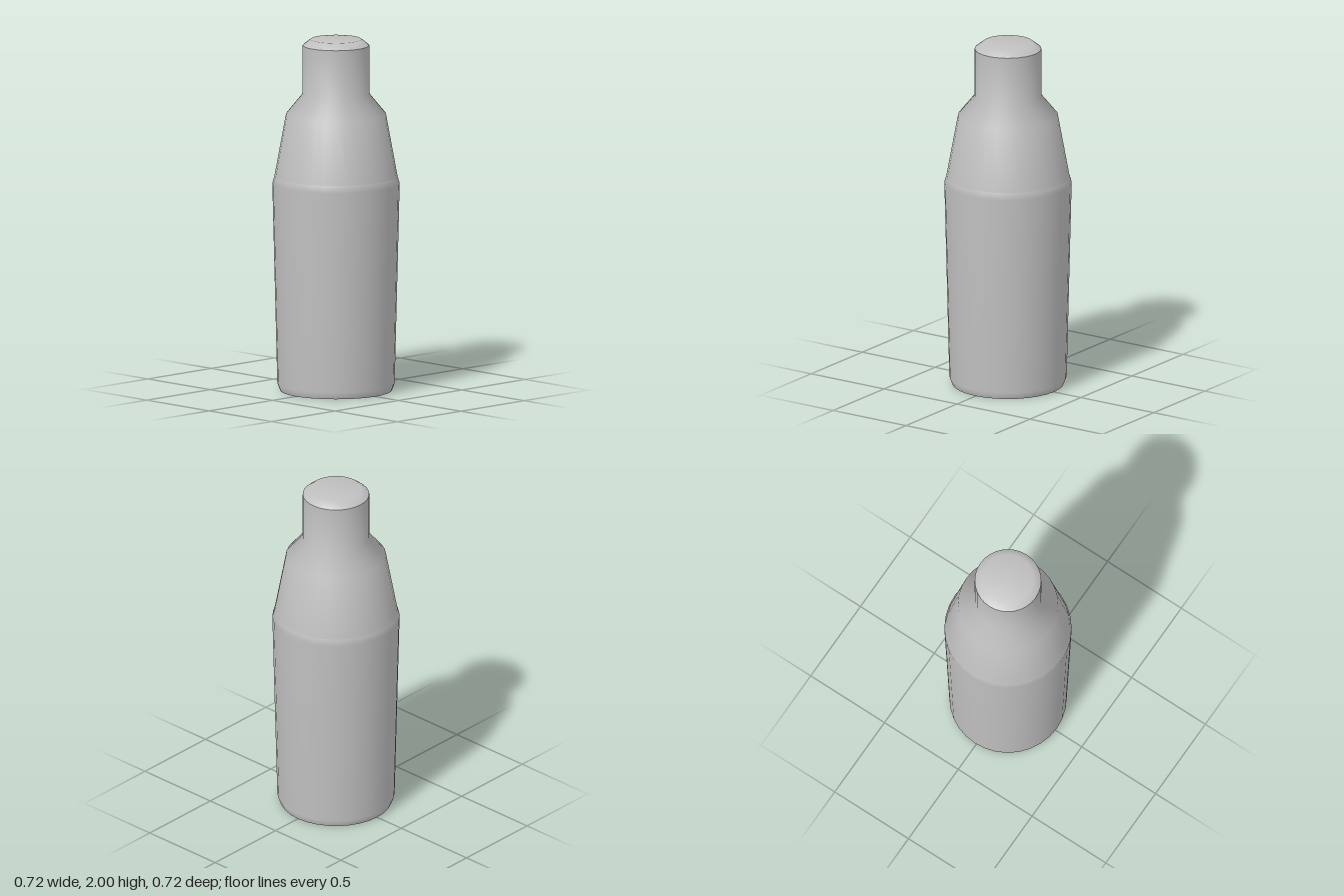
import * as THREE from 'three';

const SIDES = 32;

export function createModel() {
  const shaker = new THREE.Group();
  shaker.name = 'cocktailShaker';
  const steel = new THREE.MeshStandardMaterial({ color: 0xc0c0c0 });
  steel.name = 'brushed steel';

  // Revolve a bottom-to-top profile of [radius, height] points
  function turned(name, profile) {
    const points = profile.map(([r, y]) => new THREE.Vector2(r, y));
    const mesh = new THREE.Mesh(new THREE.LatheGeometry(points, SIDES), steel);
    mesh.name = name;
    shaker.add(mesh);
  }

  // Flat underside
  turned('base', [[0, 0], [0.315, 0]]);
  // Tapered cup with a rounded foot and a small rim
  turned('cup', [[0.315, 0], [0.33, 0.04], [0.358, 1.18], [0.346, 1.22]]);
  // Strainer section narrowing through the shoulder into the neck
  turned('shoulderAndNeck', [[0.346, 1.22], [0.281, 1.575], [0.187, 1.69], [0.187, 1.965]]);
  // Bevelled cap top
  turned('capTop', [[0.187, 1.965], [0.143, 2], [0, 2]]);

  return shaker;
}
